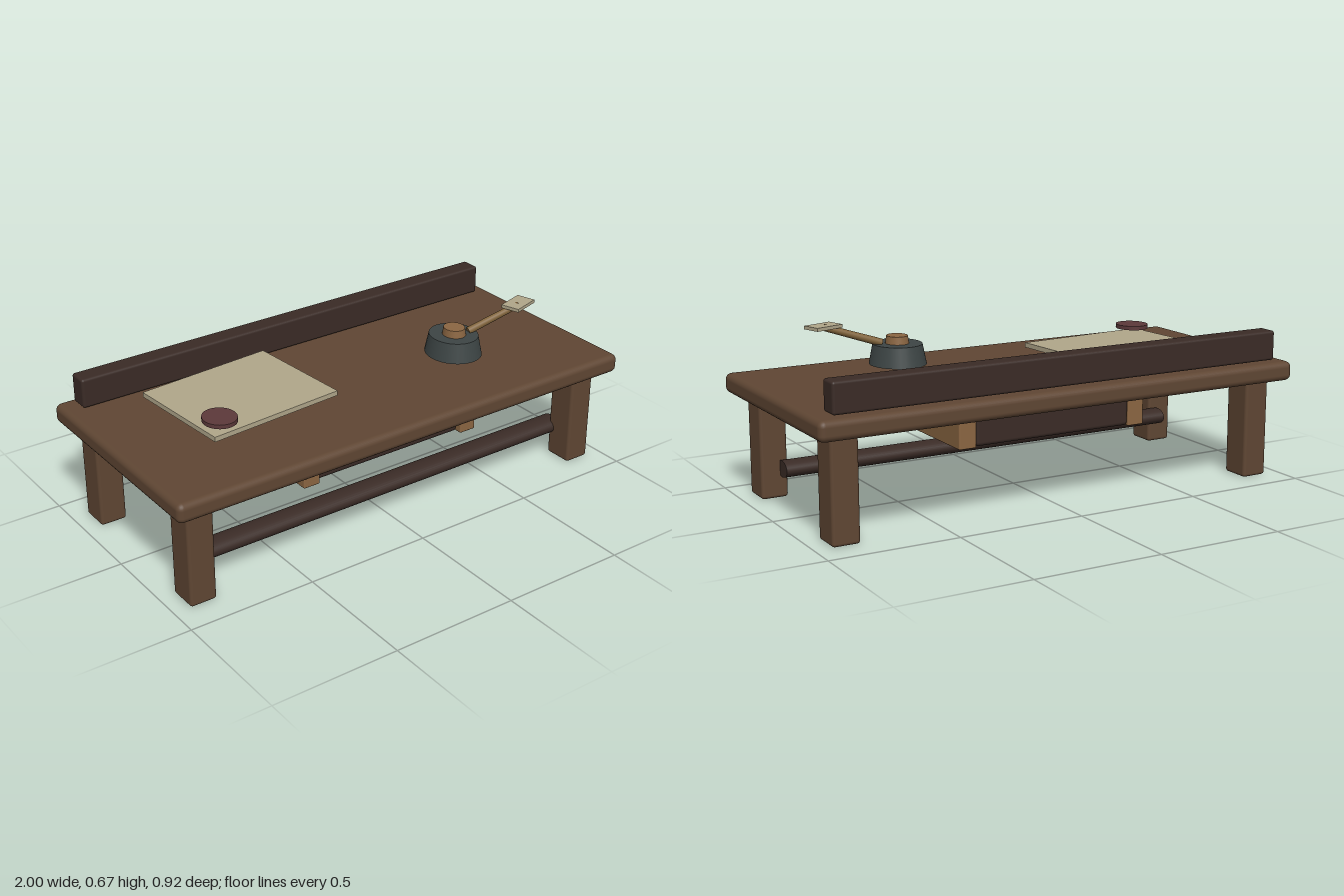
import * as THREE from 'three';
import { RoundedBoxGeometry } from 'three/addons/geometries/RoundedBoxGeometry.js';

const paint = (color) => new THREE.MeshStandardMaterial({ color });

export function createModel() {
  const group = new THREE.Group();
  const wood = paint(0x5f4633), dark = paint(0x3a2b26), light = paint(0x8b6642);
  const iron = paint(0x3d4545), paper = paint(0xb0a68a), wax = paint(0x5c393a), brass = paint(0x80633a);

  const add = (name, geometry, material, x, y, z) => {
    const mesh = new THREE.Mesh(geometry, material);
    mesh.name = name;
    mesh.position.set(x, y, z);
    group.add(mesh);
    return mesh;
  };
  const rounded = (w, h, d, r) => new RoundedBoxGeometry(w, h, d, 3, r);
  // Upright round part, slightly deeper in z than wide in x
  const round = (top, bottom, h, stretch) =>
    new THREE.CylinderGeometry(top, bottom, h, 32).scale(1, 1, stretch);

  // Table top and back rail
  add('tableTop', rounded(2, 0.076, 0.916, 0.024), wood, 0, 0.427, 0);
  add('backRail', rounded(1.87, 0.116, 0.08, 0.01), dark, 0, 0.529, -0.38);

  // Legs
  for (const sx of [-1, 1]) {
    for (const sz of [-1, 1]) {
      add('leg', rounded(0.106, 0.388, 0.12, 0.012), wood, sx * 0.882, 0.194, sz * 0.33);
    }
    // Drawer runners
    add('drawerRunner', rounded(0.07, 0.138, 0.61, 0.005), light, sx * 0.364, 0.324, 0);
  }

  // Oval front stretcher
  const bar = new THREE.CylinderGeometry(1, 1, 1.72, 32).rotateZ(Math.PI / 2).scale(1, 0.032, 0.05);
  add('stretcher', bar, dark, 0, 0.117, 0.25);

  // Drawer
  add('drawer', rounded(0.66, 0.136, 0.59, 0.015), dark, 0, 0.326, -0.01);

  // Stack of paper and round seal
  add('paper', new THREE.BoxGeometry(0.557, 0.019, 0.452), paper, -0.442, 0.51, -0.045).rotation.y = 0.08;
  add('seal', round(0.063, 0.063, 0.016, 1.1), wax, -0.64, 0.547, 0.135);

  // Inkwell with collar
  add('inkwell', round(0.092, 0.107, 0.077, 1.12), iron, 0.434, 0.542, 0.118);
  add('inkwellCollar', round(0.04, 0.044, 0.03, 1.12), light, 0.434, 0.595, 0.121);

  // Slanted pen
  const start = new THREE.Vector3(0.49, 0.584, 0.138), end = new THREE.Vector3(0.705, 0.655, 0.18);
  const dir = end.clone().sub(start);
  const mid = start.clone().add(end).multiplyScalar(0.5);
  const pen = add('pen', new THREE.CylinderGeometry(0.013, 0.015, dir.length(), 20), brass, mid.x, mid.y, mid.z);
  pen.quaternion.setFromUnitVectors(new THREE.Vector3(0, 1, 0), dir.normalize());

  // Flat vane at the pen's tip
  add('penVane', new THREE.BoxGeometry(0.12, 0.013, 0.077), paper, 0.707, 0.658, 0.178).rotation.y = 0.3;

  return group;
}
